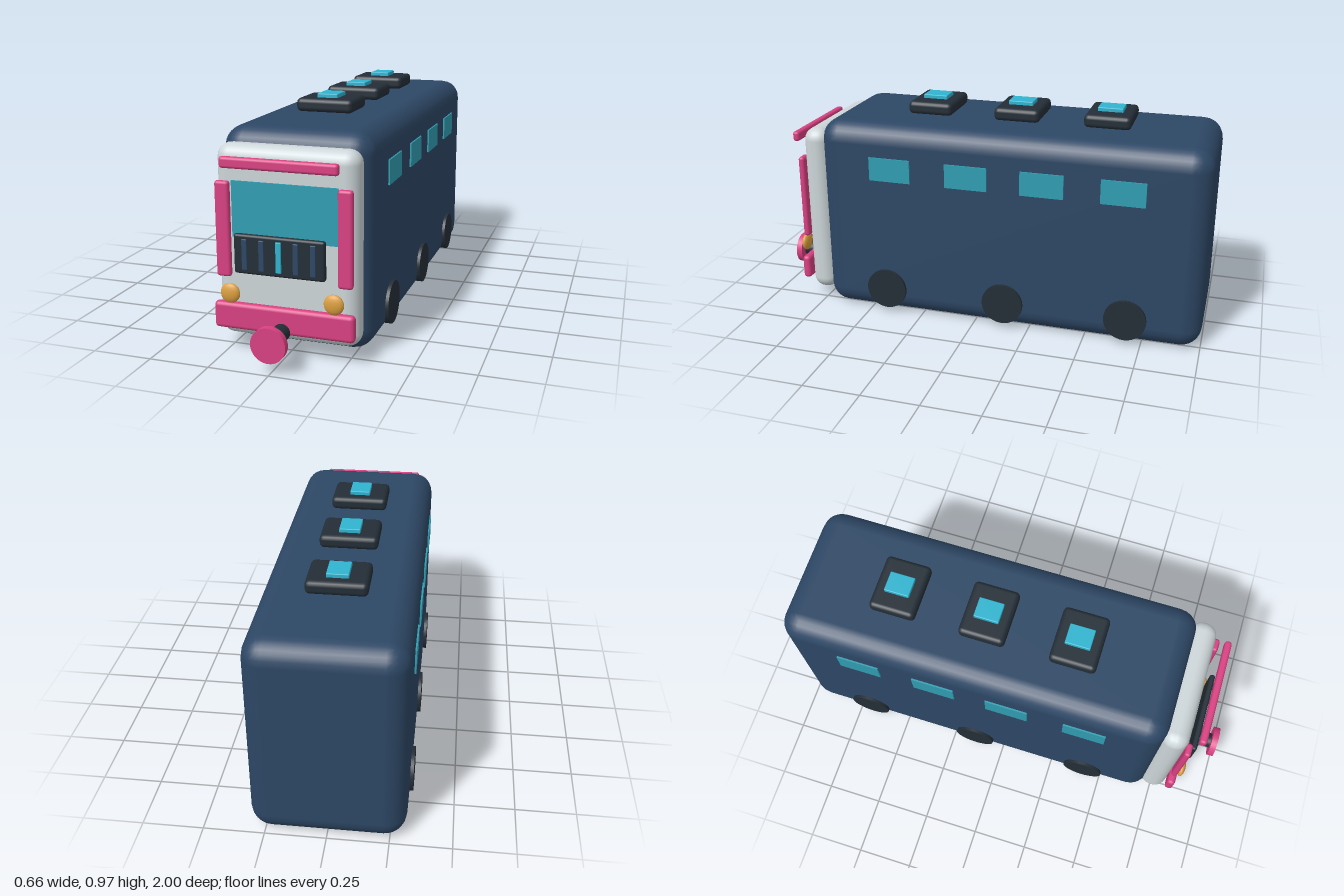
import * as THREE from 'three';
import { RoundedBoxGeometry } from 'three/addons/geometries/RoundedBoxGeometry.js';

function material(name, color) {
  const m = new THREE.MeshStandardMaterial({ color });
  m.name = name;
  return m;
}

export function createModel() {
  const navy = material('navy', 0x2d4765);
  const white = material('pale grey', 0xcdd6d9);
  const pink = material('pink', 0xd94182);
  const dark = material('charcoal', 0x242e37);
  const teal = material('window teal', 0x309eb2);
  const cyan = material('bright cyan', 0x30b4d0);
  const amber = material('amber', 0xdca040);

  const model = new THREE.Group();
  model.name = 'bus';

  function add(name, geometry, mat, x, y, z) {
    const mesh = new THREE.Mesh(geometry, mat);
    mesh.name = name;
    mesh.position.set(x, y, z);
    model.add(mesh);
    return mesh;
  }
  // Box given by its limits; r rounds the edges
  function box(name, mat, [x0, x1], [y0, y1], [z0, z1], r = 0, segments = 2) {
    const size = [x1 - x0, y1 - y0, z1 - z0];
    const geometry = r
      ? new RoundedBoxGeometry(...size, segments, r)
      : new THREE.BoxGeometry(...size);
    return add(name, geometry, mat, (x0 + x1) / 2, (y0 + y1) / 2, (z0 + z1) / 2);
  }

  // Shell and front panel
  box('body', navy, [-0.314, 0.314], [0.002, 0.889], [-1, 0.718], 0.09, 3);
  box('frontPanel', white, [-0.293, 0.293], [0.058, 0.838], [0.69, 0.808], 0.055, 3);

  // Front details
  box('windshield', teal, [-0.217, 0.217], [0.475, 0.7], [0.806, 0.815]);
  box('topBar', pink, [-0.238, 0.238], [0.76, 0.805], [0.848, 0.879], 0.012);
  box('bumper', pink, [-0.29, 0.29], [0.104, 0.213], [0.812, 0.85], 0.016);
  box('grille', dark, [-0.185, 0.185], [0.35, 0.508], [0.852, 0.877], 0.01);
  for (let i = -2; i <= 2; i++) {
    const x = i * 0.0695;
    box('grilleSlat', i ? navy : cyan, [x - 0.011, x + 0.011], [0.368, 0.491], [0.874, 0.883], 0.003);
  }

  // Coupler
  const rod = add('couplerRod', new THREE.CylinderGeometry(0.035, 0.035, 0.117, 24), dark, 0, 0.122, 0.917);
  const disc = add('couplerDisc', new THREE.CylinderGeometry(0.071, 0.071, 0.028, 40), pink, 0, 0.122, 0.986);
  rod.rotation.x = disc.rotation.x = Math.PI / 2;

  const wheelShape = new THREE.CylinderGeometry(0.092, 0.092, 0.07, 32).rotateZ(Math.PI / 2);
  const lampShape = new THREE.SphereGeometry(0.041, 16, 10).scale(1, 1, 0.42);

  // Mirrored parts
  for (const s of [-1, 1]) {
    const span = (a, b) => (s > 0 ? [a, b] : [-b, -a]);
    box('sidePillar', pink, span(0.22, 0.28), [0.315, 0.7], [0.81, 0.838], 0.012);
    add('headlight', lampShape, amber, s * 0.213, 0.259, 0.857);
    for (const z of [0.41, -0.136, -0.68]) {
      add('wheel', wheelShape, dark, s * 0.293, 0.122, z);
    }
    for (const z of [0.378, 0.03, -0.303, -0.646]) {
      box('sideWindow', teal, span(0.312, 0.321), [0.641, 0.746], [z - 0.094, z + 0.094]);
    }
  }

  // Roof units
  for (const z of [0.255, -0.14, -0.535]) {
    box('roofUnit', dark, [-0.124, 0.124], [0.9, 0.957], [z - 0.101, z + 0.101], 0.02);
    box('roofUnitLight', cyan, [-0.045, 0.045], [0.95, 0.974], [z - 0.055, z + 0.055], 0.004);
  }

  return model;
}
